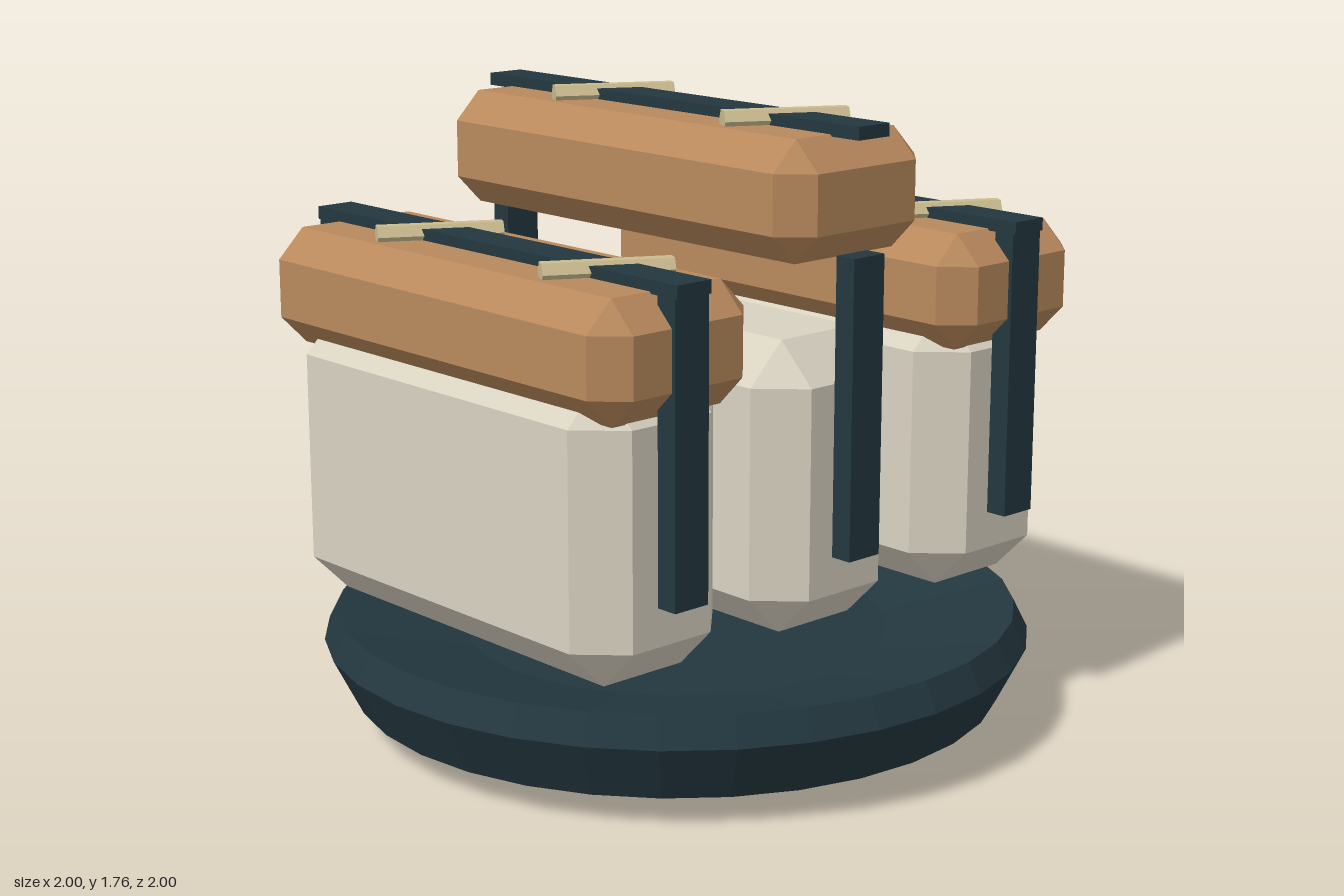
import * as THREE from 'three';
import { ConvexGeometry } from 'three/addons/geometries/ConvexGeometry.js';

const material = (name, color) => {
  const m = new THREE.MeshStandardMaterial({ color, flatShading: true });
  m.name = name;
  return m;
};

// Box with every edge and corner cut off by c
function chamferBox(w, h, d, c) {
  const points = [];
  for (const sx of [-1, 1]) for (const sy of [-1, 1]) for (const sz of [-1, 1]) {
    const x = w / 2, y = h / 2, z = d / 2;
    points.push(
      new THREE.Vector3(sx * x, sy * (y - c), sz * (z - c)),
      new THREE.Vector3(sx * (x - c), sy * y, sz * (z - c)),
      new THREE.Vector3(sx * (x - c), sy * (y - c), sz * z));
  }
  return new ConvexGeometry(points);
}

export function createModel() {
  const model = new THREE.Group();
  model.name = 'sushiPlate';
  const dark = material('dark seaweed', 0x23373f);
  const rice = material('rice', 0xd8d2c1);
  const fish = material('fish', 0xb8895c);
  const seed = material('seed', 0xcabb90);

  const add = (parent, name, geometry, mat, x, y, z) => {
    const mesh = new THREE.Mesh(geometry, mat);
    mesh.name = name;
    mesh.position.set(x, y, z);
    parent.add(mesh);
    return mesh;
  };

  // Shallow dish with a bevelled rim
  const profile = [[0, 0], [0.6, 0], [0.92, 0.08], [1, 0.24], [0.96, 0.32], [0.6, 0.24], [0, 0.24]]
    .map(([r, y]) => new THREE.Vector2(r, y));
  add(model, 'plate', new THREE.LatheGeometry(profile, 32), dark, 0, 0, 0);

  const riceGeometry = chamferBox(1.32, 0.8, 0.488, 0.112);
  const fishGeometry = chamferBox(1.44, 0.32, 0.52, 0.08);
  const bandGeometry = new THREE.BoxGeometry(1.48, 0.035, 0.112);
  const legGeometry = new THREE.BoxGeometry(0.063, 0.81, 0.112);
  const seedGeometry = new THREE.CylinderGeometry(0.032, 0.032, 0.34, 6)
    .rotateY(Math.PI / 6).rotateX(Math.PI / 2).rotateY(-0.5);

  // Three pieces; the middle topping sits higher
  for (const [z, lift] of [[-0.62, 0], [0, 0.32], [0.62, 0]]) {
    const piece = new THREE.Group();
    piece.name = 'sushiPiece';
    piece.position.z = z;
    model.add(piece);
    add(piece, 'riceBlock', riceGeometry, rice, 0, 0.78, 0);
    add(piece, 'fishSlice', fishGeometry, fish, 0, 1.24 + lift, 0);
    add(piece, 'topBand', bandGeometry, dark, 0, 1.412 + lift, 0);
    for (const side of [-1, 1]) add(piece, 'sideBand', legGeometry, dark, side * 0.7, 1.005, 0);
    for (const x of [-0.26, 0.42]) add(piece, 'seed', seedGeometry, seed, x, 1.412 + lift, 0);
  }
  return model;
}
